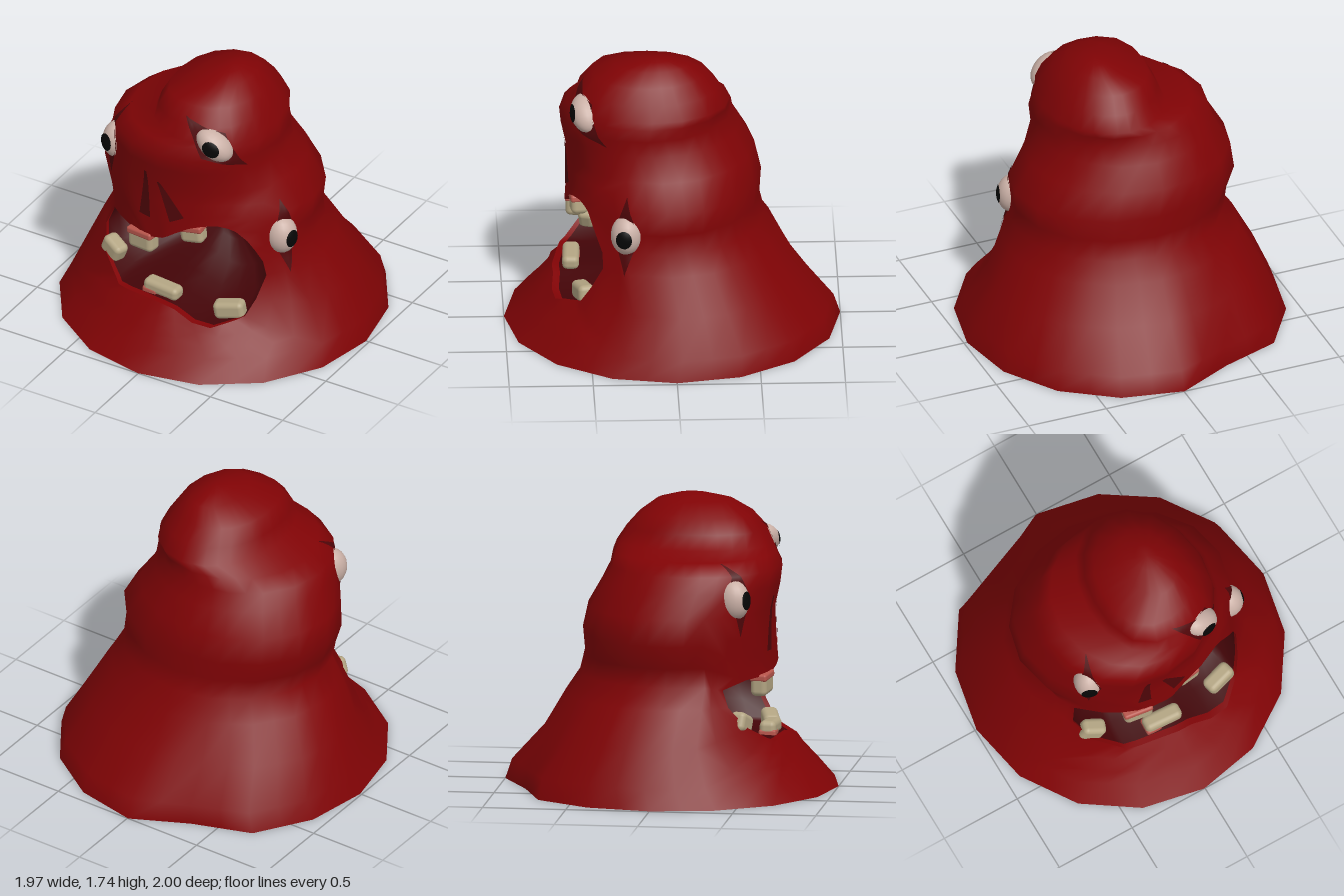
import * as THREE from 'three';
import { mergeVertices } from 'three/addons/utils/BufferGeometryUtils.js';
import { RoundedBoxGeometry } from 'three/addons/geometries/RoundedBoxGeometry.js';

const mat = (name, color, side = THREE.FrontSide) => {
  const m = new THREE.MeshStandardMaterial({ color, side });
  m.name = name;
  return m;
};

// Body outline per height: y, left x, right x, back z, front z, fullness of the -x and +x front corners
const RINGS = [
  [0, -.99, .98, -1, 1, 0, 0], [.12, -.94, .94, -.96, .89, 0, 0], [.34, -.845, .82, -.76, .71, 0, -.03],
  [.56, -.73, .7, -.63, .67, 0, .02], [.68, -.645, .64, -.55, .65, 0, .05], [.8, -.67, .635, -.52, .635, 0, .04],
  [.94, -.72, .65, -.53, .63, 0, 0], [1.1, -.7, .54, -.49, .63, 0, .02], [1.24, -.62, .47, -.41, .66, 0, .02],
  [1.34, -.59, .47, -.36, .67, 0, .03], [1.41, -.49, .46, -.35, .63, 0, .03], [1.45, -.3, .44, -.34, .6, .05, .04],
  [1.54, -.26, .4, -.28, .56, .09, .04], [1.63, -.21, .34, -.2, .48, .1, .03], [1.7, -.04, .26, -.1, .35, .04, 0],
  [1.73, .05, .18, .02, .2, 0, 0], [1.74, .12, .12, .1, .1, 0, 0],
];
const SIDES = 16;

// Point on the 16-sided body; u = 0 is the front, u grows toward +x
function surf(u, y) {
  let i = 0;
  while (i < RINGS.length - 2 && y > RINGS[i + 1][0]) i++;
  const a = RINGS[i], b = RINGS[i + 1], t = (y - a[0]) / (b[0] - a[0]);
  const [, l, r, bk, f, fullL, fullR] = a.map((v, j) => v + (b[j] - v) * t);
  const corner = k => {
    const th = k * Math.PI * 2 / SIDES, c = Math.cos(th);
    const dent = (k + SIDES) % SIDES === 9 ? 1 - .1 * Math.max(0, 1 - y * 2) : 1;
    const full = c > 0 ? (k < 0 ? fullL : fullR) : 0;
    const s = dent * (1 + full * Math.sin(2 * th) ** 2);
    return new THREE.Vector3((l + r) / 2 + (r - l) / 2 * Math.sin(th) * s, y,
      (f + bk) / 2 + (f - bk) / 2 * c * s);
  };
  const k = Math.floor(u);
  return corner(k).lerp(corner(k + 1), u - k);
}

// Angle parameter on the front half for a given x and y
function uAt(x, y) {
  let lo = -4, hi = 4;
  for (let i = 0; i < 30; i++) {
    const m = (lo + hi) / 2;
    if (surf(m, y).x < x) lo = m; else hi = m;
  }
  return lo;
}

const quad = (out, a, b, c, d) => [a, b, c, a, c, d].forEach(p => out.push(p.x, p.y, p.z));
function smooth(positions) {
  const g = new THREE.BufferGeometry();
  g.setAttribute('position', new THREE.Float32BufferAttribute(positions, 3));
  const m = mergeVertices(g, 1e-4);
  m.computeVertexNormals();
  return m;
}
function loft(out, rings) {
  for (let j = 0; j < rings.length - 1; j++) {
    const p = rings[j], q = rings[j + 1], n = p.length;
    for (let i = 0; i < n; i++) quad(out, p[i], p[(i + 1) % n], q[(i + 1) % n], q[i]);
  }
}

// Mouth outline (x, y), counter-clockwise from the left corner
const MOUTH = [[-.57, .57], [-.5, .42], [-.33, .325], [-.2, .33], [.03, .335], [.15, .29], [.27, .25],
  [.47, .31], [.55, .6], [.47, .78], [.37, .87], [.25, .9], [.1, .84], [-.05, .74], [-.15, .71],
  [-.42, .7], [-.53, .68]];

// Where a ray from the mouth centre crosses the outline
function hitOutline(c, p, poly) {
  const dx = p[0] - c[0], dy = p[1] - c[1];
  let best = 0;
  poly.forEach((a, i) => {
    const b = poly[(i + 1) % poly.length], ex = b[0] - a[0], ey = b[1] - a[1];
    const den = dx * ey - dy * ex, ax = a[0] - c[0], ay = a[1] - c[1];
    const t = (ax * ey - ay * ex) / den, s = (ax * dy - ay * dx) / den;
    if (t > 0 && s >= -1e-6 && s <= 1 + 1e-6) best = Math.max(best, t);
  });
  return [c[0] + dx * best, c[1] + dy * best];
}

export function createModel() {
  const group = new THREE.Group();
  const skin = mat('red skin', 0x800305, THREE.DoubleSide);
  const dark = mat('dark mouth', 0x420407, THREE.DoubleSide);
  const slitMat = mat('deep red slit', 0x4e0508, THREE.DoubleSide);
  const white = mat('eye white', 0xcab0a6), black = mat('pupil black', 0x060606);
  const ivory = mat('tooth ivory', 0xb3a583), pink = mat('gum pink', 0xb8564c);
  const add = (name, geo, m, parent = group) => {
    const mesh = new THREE.Mesh(geo, m);
    mesh.name = name;
    parent.add(mesh);
    return mesh;
  };

  // Body grid, leaving out a block around the mouth
  const pos = [], W = 3, R0 = 1, R1 = 7;
  for (let r = 0; r < RINGS.length - 1; r++)
    for (let u = -8; u < 8; u += .5) {
      if (r >= R0 && r < R1 && u >= -W && u < W) continue;
      const y0 = RINGS[r][0], y1 = RINGS[r + 1][0];
      quad(pos, surf(u, y0), surf(u + .5, y0), surf(u + .5, y1), surf(u, y1));
    }
  // Fill from the block's border to the mouth outline
  const border = [];
  for (let u = -W; u < W; u += .5) border.push([u, RINGS[R0][0]]);
  for (let r = R0; r < R1; r++) border.push([W, RINGS[r][0]]);
  for (let u = W; u > -W; u -= .5) border.push([u, RINGS[R1][0]]);
  for (let r = R1; r > R0; r--) border.push([-W, RINGS[r][0]]);
  const poly = MOUTH.map(([x, y]) => [uAt(x, y), y]);
  const inner = border.map(p => hitOutline([0, .55], p, poly));
  const fill = [0, .35, .7, 1].map(t => border.map((p, i) =>
    surf(p[0] + (inner[i][0] - p[0]) * t, p[1] + (inner[i][1] - p[1]) * t)));
  loft(pos, fill);
  const body = add('body', smooth(pos), skin);

  // Lip edge and mouth pocket, narrowing toward the back
  const pocket = t => fill[3].map(p => {
    const s = Math.sqrt(1 - t ** 2.5);
    return new THREE.Vector3(p.x * s, .57 + (p.y - .57) * s, p.z + (.02 - p.z) * t);
  });
  const lip = [], cave = [];
  loft(lip, [0, .06].map(pocket));
  loft(cave, [.06, .3, .55, .8, .95, 1].map(pocket));
  add('lip', smooth(lip), skin);
  add('mouthPocket', smooth(cave), dark);

  // Drop a point onto the body along a direction
  const ray = new THREE.Raycaster();
  body.updateMatrixWorld();
  const project = (p, dir, lift = .006) => {
    ray.set(p.clone().addScaledVector(dir, 2), dir.clone().negate());
    const hit = ray.intersectObject(body)[0];
    return (hit ? hit.point : p.clone()).addScaledVector(dir, lift);
  };
  // Thin strip lying on the body; half(s) is its half width, s from -1 to 1
  const strip = (name, frame, dir, len, half) => {
    const g = new THREE.PlaneGeometry(2, 2, 4, 16), a = g.attributes.position;
    for (let i = 0; i < a.count; i++) {
      const s = a.getY(i);
      const p = frame.localToWorld(new THREE.Vector3(a.getX(i) * half(s), s * len, 0));
      a.setXYZ(i, ...project(p, dir).toArray());
    }
    g.computeVertexNormals();
    add(name, g, slitMat);
  };
  const makeFrame = (at, dir, tilt) => {
    const f = new THREE.Group();
    f.position.copy(project(new THREE.Vector3(...at), dir, 0));
    f.lookAt(f.position.clone().add(dir));
    f.rotateZ(tilt);
    f.updateMatrixWorld();
    return f;
  };

  // Eyes in pointed slits: position, direction, tilt, slit half length and half width,
  // eyeball half width and half length, depth offset
  const eyes = [
    ['rightEye', [-.485, 1.195, .45], [-.38, .05, .9], 0, .225, .075, .085, .122, -.04],
    ['browEye', [.25, 1.44, .56], [.25, .1, .95], .9, .24, .1, .085, .13, -.035],
    ['sideEye', [.62, .785, .3], [1, .03, .22], 0, .24, .085, .095, .122, -.03],
  ];
  for (const [name, at, d, tilt, len, slitW, w, h, depth] of eyes) {
    const dir = new THREE.Vector3(...d).normalize(), f = makeFrame(at, dir, tilt);
    strip(name + 'Slit', f, dir, len, s => slitW * Math.pow(1 - Math.abs(s), 1.1));
    f.name = name;
    group.add(f);
    const ball = add('eyeball', new THREE.SphereGeometry(1, 20, 14), white, f);
    const pupil = add('pupil', new THREE.SphereGeometry(1.03, 14, 4, 0, Math.PI * 2, 0, .5).rotateX(Math.PI / 2), black, f);
    ball.scale.set(w, h, .1);
    pupil.scale.set(.1, .115, .1);
    ball.position.z = pupil.position.z = depth;
  }

  // Nostril slits
  const front = new THREE.Vector3(0, 0, 1);
  strip('rightNostril', makeFrame([-.18, 1.01, .6], front, -.05), front, .165, s => .025 - s * .016);
  strip('leftNostril', makeFrame([-.02, 1.01, .6], front, .48), front, .135, s => .028 - s * .022);

  // Teeth: position, size, tilt, gum offset and width (none when 0)
  const teeth = [
    [[-.22, .65, .57], [.18, .13, .1], .05, [0, .75, .184]],
    [[.12, .795, .56], [.15, .11, .1], .15, [0, .75, .154]],
    [[-.475, .45, .48], [.15, .12, .1], -.4, [0, 0, 0]],
    [[-.065, .365, .6], [.24, .085, .1], -.05, [-.07, -.7, .1]],
    [[.36, .325, .54], [.19, .11, .1], .17, [0, 0, 0]],
  ];
  for (const [p, s, tilt, [gx, gy, gw]] of teeth) {
    const tooth = new THREE.Group();
    tooth.name = 'tooth';
    tooth.position.set(...p);
    tooth.rotation.set(0, p[0] * .7, tilt);
    group.add(tooth);
    add('crown', new RoundedBoxGeometry(...s, 3, .032), ivory, tooth);
    if (gw) add('gum', new RoundedBoxGeometry(gw, .045, s[2] * 1.06, 2, .015), pink, tooth)
      .position.set(gx, gy * s[1] / 2, 0);
  }
  return group;
}
